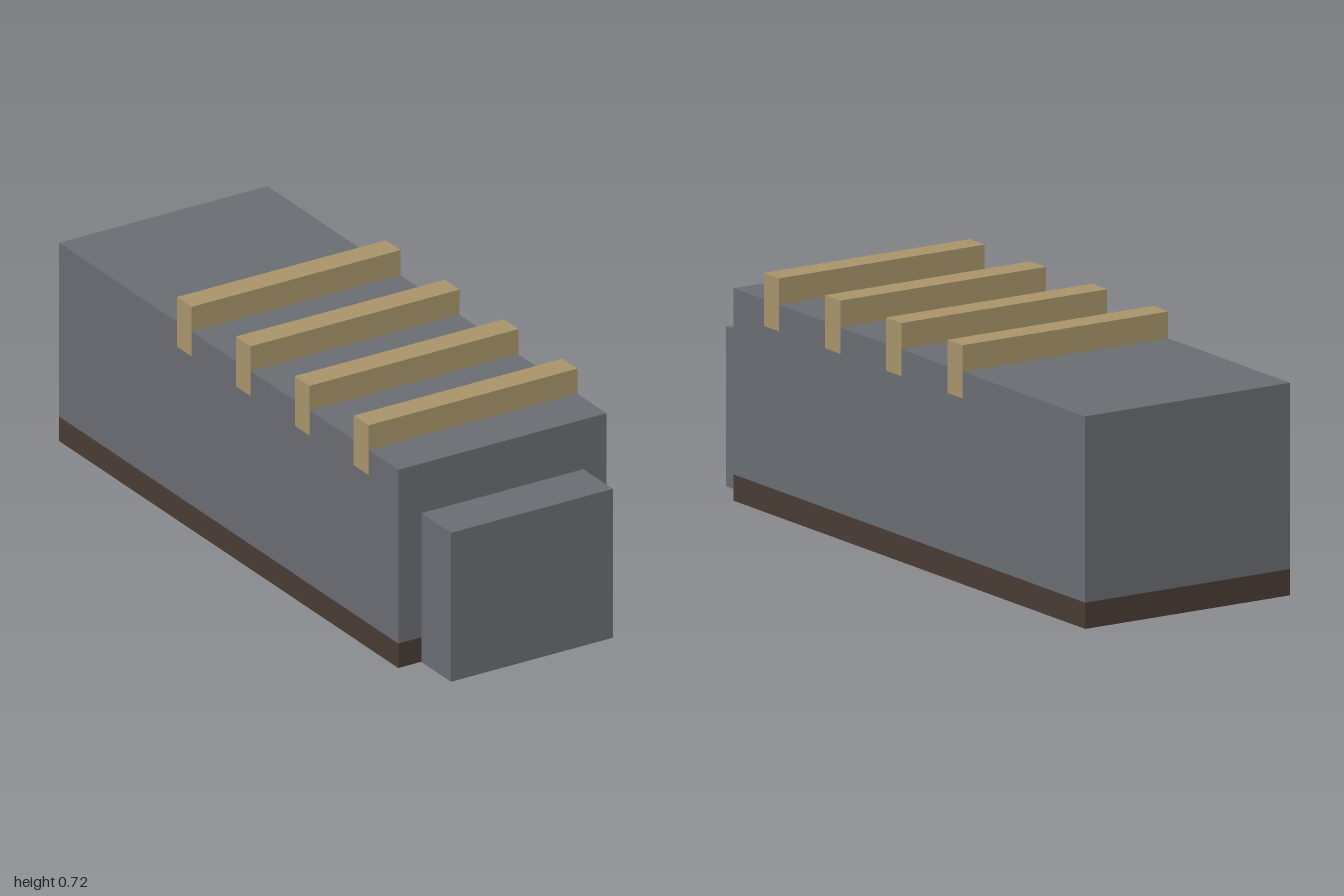
import * as THREE from 'three';

export function createModel() {
  const model = new THREE.Group();
  const mat = (name, color) => {
    const m = new THREE.MeshStandardMaterial({ color });
    m.name = name;
    return m;
  };
  const stone = mat('grey stone', 0x696c71);
  const wood = mat('tan wood', 0xa8946a);
  const earth = mat('dark earth', 0x493b34);

  // Box given by its half width and its y and z limits
  const box = (name, halfWidth, y0, y1, z0, z1, material) => {
    const mesh = new THREE.Mesh(new THREE.BoxGeometry(halfWidth * 2, y1 - y0, z1 - z0), material);
    mesh.position.set(0, (y0 + y1) / 2, (z0 + z1) / 2);
    mesh.name = name;
    model.add(mesh);
  };

  // Main block standing on its dark footing
  box('body', 0.36, 0.08, 0.64, -1, 0.84, stone);
  box('footing', 0.36, 0.001, 0.08, -1, 0.84, earth);

  // Smaller block set into the front end
  box('frontBlock', 0.28, 0, 0.48, 0.76, 1, stone);

  // Cross beams sunk into the top, a hair proud of the sides
  for (let i = 0; i < 4; i++) {
    const z = 0.64 - i * 0.32;
    box('crossBeam' + (i + 1), 0.361, 0.56, 0.72, z - 0.04, z + 0.04, wood);
  }
  return model;
}
